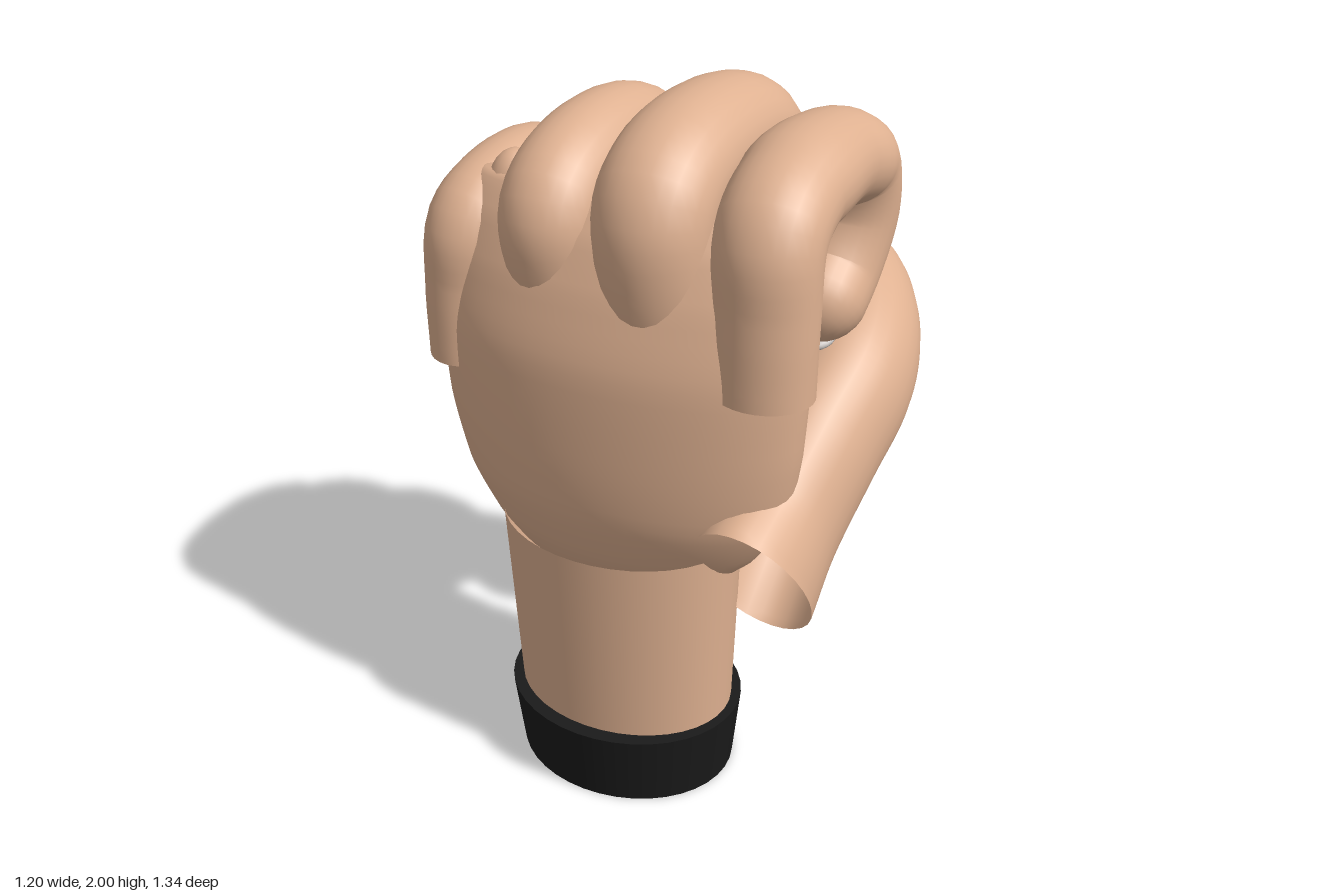
import * as THREE from 'three';

const skin = new THREE.MeshStandardMaterial({ color: 0xdfb191, side: THREE.DoubleSide });
skin.name = 'skin';
const black = new THREE.MeshStandardMaterial({ color: 0x1a1a1a });
black.name = 'black cuff';
const nailGrey = new THREE.MeshStandardMaterial({ color: 0xc9c4c1 });
nailGrey.name = 'nail grey';

const V = (x, y, z) => new THREE.Vector3(x, y, z);

// Skin over elliptical rings of { c: centre, s: side axis, n: other axis }
function loft(rings, sides) {
  const pos = [], index = [];
  rings.forEach(({ c, s, n }, i) => {
    for (let j = 0; j < sides; j++) {
      const a = (j / sides) * Math.PI * 2;
      const p = c.clone().addScaledVector(s, Math.cos(a)).addScaledVector(n, Math.sin(a));
      pos.push(p.x, p.y, p.z);
      if (i === rings.length - 1) continue;
      const k = i * sides + j, l = i * sides + (j + 1) % sides;
      index.push(k, l, k + sides, l, l + sides, k + sides);
    }
  });
  const g = new THREE.BufferGeometry();
  g.setAttribute('position', new THREE.Float32BufferAttribute(pos, 3));
  g.setIndex(index);
  g.computeVertexNormals();
  return g;
}

// Bent digit, open at the base and round at the tip; points are [x, y, z, side radius, depth radius]
function digit(points, steps = 40) {
  const path = new THREE.CatmullRomCurve3(points.map(p => V(p[0], p[1], p[2])));
  const size = new THREE.CatmullRomCurve3(points.map(p => V(p[3], p[4], 0)));
  const rings = [];
  const add = (t, push, scale) => {
    const c = path.getPoint(t), dir = path.getTangent(t), r = size.getPoint(t);
    const s = V(1, 0, 0).addScaledVector(dir, -dir.x).normalize();
    const n = dir.clone().cross(s);
    c.addScaledVector(dir, push * (r.x + r.y) / 2);
    rings.push({ c, s: s.multiplyScalar(r.x * scale), n: n.multiplyScalar(r.y * scale) });
  };
  for (let i = 0; i <= steps; i++) add(i / steps, 0, 1);
  for (let i = 1; i <= 8; i++) {
    const a = (i / 8) * Math.PI / 2;
    add(1, Math.sin(a), Math.max(Math.cos(a), 0.001));
  }
  return loft(rings, 28);
}

export function createModel() {
  const model = new THREE.Group();
  const add = (name, geometry, material) => {
    const m = new THREE.Mesh(geometry, material);
    m.name = name;
    model.add(m);
    return m;
  };

  // Cuff and wrist
  add('cuff', new THREE.CylinderGeometry(0.353, 0.328, 0.225, 40).scale(1, 1, 0.82).translate(-0.045, 0.1125, 0.38), black);
  add('wrist', new THREE.CylinderGeometry(0.352, 0.325, 0.61, 40, 1, true).scale(1, 1, 0.76).translate(-0.045, 0.505, 0.38), skin);

  // Palm rows: y, centre x, half width, centre z, half depth
  const rows = [
    [0.58, -0.12, 0.01, 0.33, 0.01], [0.61, -0.11, 0.22, 0.33, 0.1], [0.66, -0.08, 0.32, 0.335, 0.15],
    [0.76, -0.055, 0.41, 0.35, 0.195], [0.92, -0.043, 0.49, 0.365, 0.232], [1.12, -0.045, 0.53, 0.37, 0.24],
    [1.35, -0.045, 0.545, 0.37, 0.235], [1.55, -0.045, 0.525, 0.365, 0.19], [1.68, -0.05, 0.47, 0.36, 0.14],
    [1.77, -0.06, 0.38, 0.355, 0.08], [1.79, -0.06, 0.01, 0.355, 0.01],
  ];
  const centre = new THREE.CatmullRomCurve3(rows.map(r => V(r[1], r[0], r[3])));
  const half = new THREE.CatmullRomCurve3(rows.map(r => V(r[2], r[4], 0)));
  const rings = [];
  for (let i = 0; i <= 50; i++) {
    const h = half.getPoint(i / 50);
    rings.push({ c: centre.getPoint(i / 50), s: V(Math.max(h.x, 0.001), 0, 0), n: V(0, 0, -Math.max(h.y, 0.001)) });
  }
  add('palm', loft(rings, 48), skin);
  add('knuckle', new THREE.SphereGeometry(1, 20, 14).scale(0.08, 0.13, 0.08).translate(-0.36, 1.69, 0.34), skin);

  // Curled fingers
  add('indexFinger', digit([
    [0.403, 1.33, 0.428, 0.135, 0.122], [0.403, 1.55, 0.422, 0.138, 0.121], [0.398, 1.74, 0.395, 0.142, 0.128],
    [0.39, 1.81, 0.27, 0.145, 0.13], [0.385, 1.813, 0.03, 0.145, 0.13], [0.385, 1.76, -0.11, 0.145, 0.13],
    [0.38, 1.62, -0.15, 0.142, 0.13], [0.37, 1.47, -0.085, 0.135, 0.128], [0.37, 1.41, -0.01, 0.13, 0.128],
  ]), skin);
  add('middleFinger', digit([
    [0.1, 1.38, 0.385, 0.12, 0.13], [0.1, 1.58, 0.425, 0.15, 0.147], [0.095, 1.76, 0.415, 0.16, 0.153],
    [0.09, 1.836, 0.29, 0.162, 0.153], [0.09, 1.843, 0.02, 0.162, 0.15], [0.09, 1.785, -0.12, 0.16, 0.15],
    [0.09, 1.62, -0.15, 0.155, 0.145], [0.09, 1.45, -0.09, 0.15, 0.138], [0.1, 1.4, 0, 0.145, 0.135],
  ]), skin);
  add('ringFinger', digit([
    [-0.2, 1.4, 0.37, 0.11, 0.12], [-0.2, 1.58, 0.415, 0.132, 0.14], [-0.2, 1.71, 0.415, 0.14, 0.145],
    [-0.205, 1.78, 0.29, 0.141, 0.146], [-0.205, 1.79, 0.05, 0.14, 0.143], [-0.205, 1.73, -0.08, 0.138, 0.14],
    [-0.205, 1.6, -0.11, 0.137, 0.136], [-0.205, 1.43, -0.05, 0.135, 0.132], [-0.2, 1.38, 0.04, 0.13, 0.128],
  ]), skin);
  add('littleFinger', digit([
    [-0.495, 1.24, 0.412, 0.106, 0.12], [-0.49, 1.45, 0.408, 0.112, 0.12], [-0.474, 1.61, 0.39, 0.12, 0.122],
    [-0.46, 1.672, 0.27, 0.124, 0.122], [-0.455, 1.675, 0.1, 0.124, 0.12], [-0.455, 1.61, -0.01, 0.122, 0.12],
    [-0.455, 1.48, -0.03, 0.12, 0.118], [-0.45, 1.36, 0.02, 0.116, 0.114], [-0.45, 1.33, 0.09, 0.112, 0.11],
  ]), skin);

  // Thumb reaching back across the palm
  add('thumb', digit([
    [0.385, 0.74, 0.435, 0.17, 0.275], [0.39, 0.85, 0.25, 0.165, 0.23], [0.41, 0.99, 0.05, 0.172, 0.222],
    [0.422, 1.1, -0.14, 0.177, 0.212], [0.375, 1.18, -0.31, 0.175, 0.195], [0.28, 1.235, -0.45, 0.17, 0.185],
    [0.205, 1.25, -0.495, 0.16, 0.178],
  ], 48), skin);

  // Nails: shallow ovals set into the tips, [name, position, facing direction, half width, half length]
  const nails = [
    ['indexNail', V(0.37, 1.296, 0.01), V(0, -1, -0.3), 0.055, 0.06],
    ['middleNail', V(0.1, 1.28, 0.02), V(0, -1, -0.3), 0.06, 0.065],
    ['ringNail', V(-0.2, 1.264, 0.035), V(0, -1, -0.3), 0.062, 0.068],
    ['littleNail', V(-0.45, 1.231, 0.085), V(0, -1, -0.25), 0.056, 0.064],
    ['thumbNail', V(0.19, 1.28, -0.647), V(-0.1, 0.2, -1), 0.038, 0.06],
  ];
  for (const [name, p, dir, w, l] of nails) {
    const nail = add(name, new THREE.SphereGeometry(1, 20, 12).scale(w, l, 0.022), nailGrey);
    nail.position.copy(p);
    nail.lookAt(p.clone().add(dir));
  }
  return model;
}
